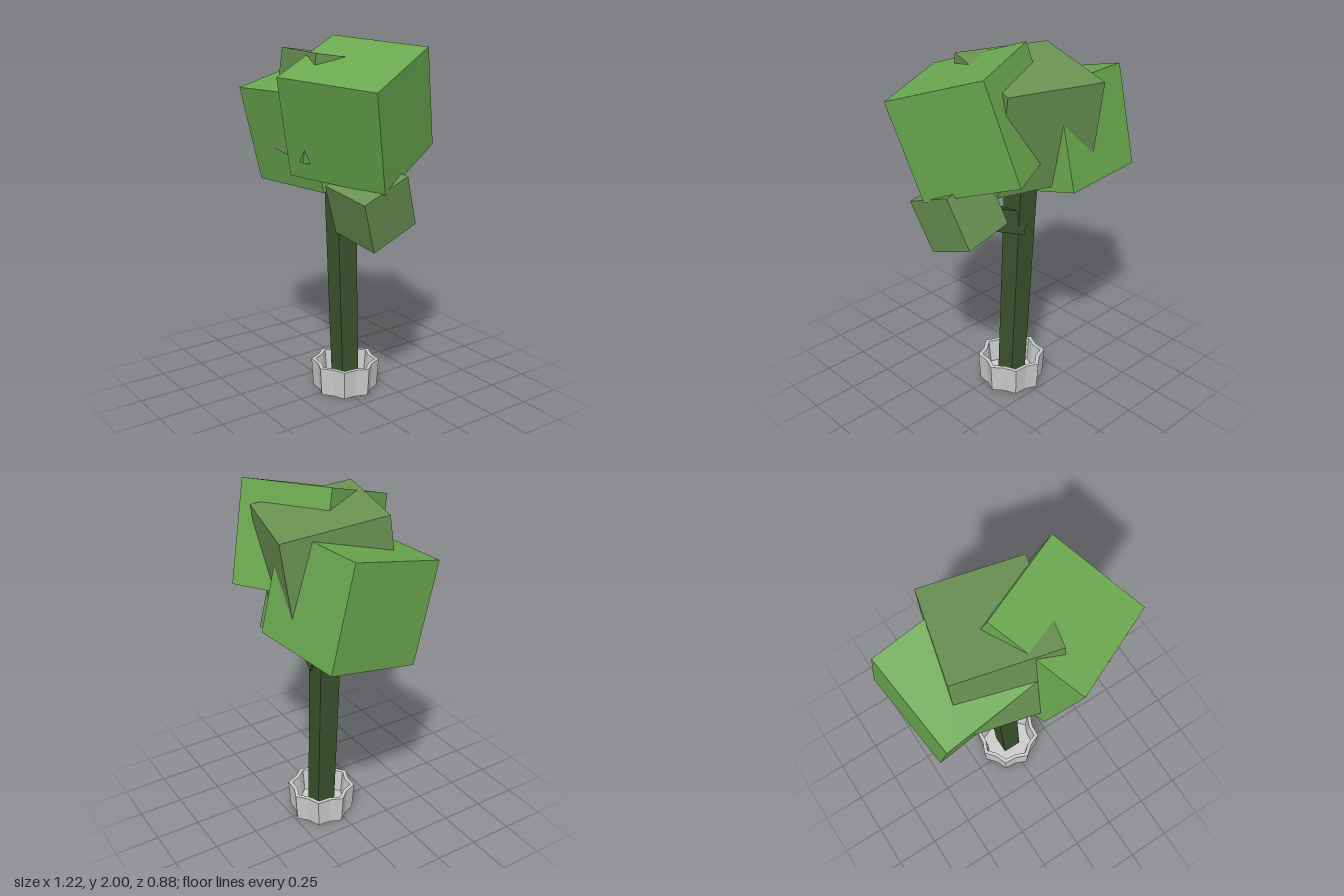
import * as THREE from 'three';

const mat = (color) => new THREE.MeshStandardMaterial({ color, flatShading: true });
const leaf = mat(0x6aa84f), olive = mat(0x6a9253), bark = mat(0x3a532d), grey = mat(0xcccccc);
const V = (a) => new THREE.Vector3(...a);

// Cube of the given size and centre, turned so its x and y axes follow two directions
function turnedCube(name, material, size, centre, xDir, yDir) {
  const x = V(xDir).normalize();
  const z = x.clone().cross(V(yDir)).normalize();
  const y = z.clone().cross(x);
  const mesh = new THREE.Mesh(new THREE.BoxGeometry(size, size, size), material);
  mesh.quaternion.setFromRotationMatrix(new THREE.Matrix4().makeBasis(x, y, z));
  mesh.position.set(...centre);
  mesh.name = name;
  return mesh;
}

// Square beam between two points, widening from w0 to w1
function beam(name, from, to, w0, w1) {
  const a = V(from), b = V(to), dir = b.clone().sub(a);
  const geo = new THREE.CylinderGeometry(w1 / Math.SQRT2, w0 / Math.SQRT2, dir.length(), 4);
  geo.rotateY(Math.PI / 4);
  const mesh = new THREE.Mesh(geo, bark);
  mesh.quaternion.setFromUnitVectors(new THREE.Vector3(0, 1, 0), dir.normalize());
  mesh.position.copy(a.add(b).multiplyScalar(0.5));
  mesh.name = name;
  return mesh;
}

// Open pot: a lathe whose every second column is pulled in, giving a star outline
function pot(points) {
  const profile = [[0, 0], [0.184, 0], [0.195, 0.165], [0.17, 0.165], [0.155, 0.03], [0, 0.03]];
  const segments = points * 2;
  const geo = new THREE.LatheGeometry(profile.map((p) => new THREE.Vector2(...p)), segments);
  const pos = geo.attributes.position;
  for (let i = 0; i < pos.count; i++) {
    const column = Math.floor(i / profile.length);
    const k = column % 2 ? 0.86 : 1;
    pos.setXYZ(i, pos.getX(i) * k, pos.getY(i), pos.getZ(i) * k);
  }
  geo.computeVertexNormals();
  const mesh = new THREE.Mesh(geo, grey);
  mesh.position.set(-0.003, 0, -0.055);
  mesh.rotation.y = 0.15;
  mesh.name = 'pot';
  return mesh;
}

export function createModel() {
  const group = new THREE.Group();
  group.name = 'pottedTree';
  group.add(
    pot(8),
    // Leaning trunk and the side branch
    beam('trunk', [-0.003, 0.03, -0.055], [-0.075, 1.5, -0.062], 0.11, 0.13),
    beam('branch', [-0.05, 1.015, -0.065], [0.31, 1.155, 0], 0.125, 0.125),
    // Foliage blocks
    turnedCube('leftFoliage', leaf, 0.555, [0.197, 1.63, 0.01], [0.5, -0.04, -0.23], [0.11, 0.53, 0.14]),
    turnedCube('rightFoliage', leaf, 0.552, [-0.303, 1.503, -0.077], [0.543, 0.012, -0.065], [0, 0.54, 0.13]),
    turnedCube('middleFoliage', olive, 0.552, [-0.069, 1.615, -0.067], [0.54, 0.012, 0.135], [0.01, 0.545, -0.08]),
    turnedCube('smallFoliage', olive, 0.3, [0.314, 1.165, 0.012], [0.29, -0.045, -0.03], [0.05, 0.28, 0.105]),
  );
  return group;
}
